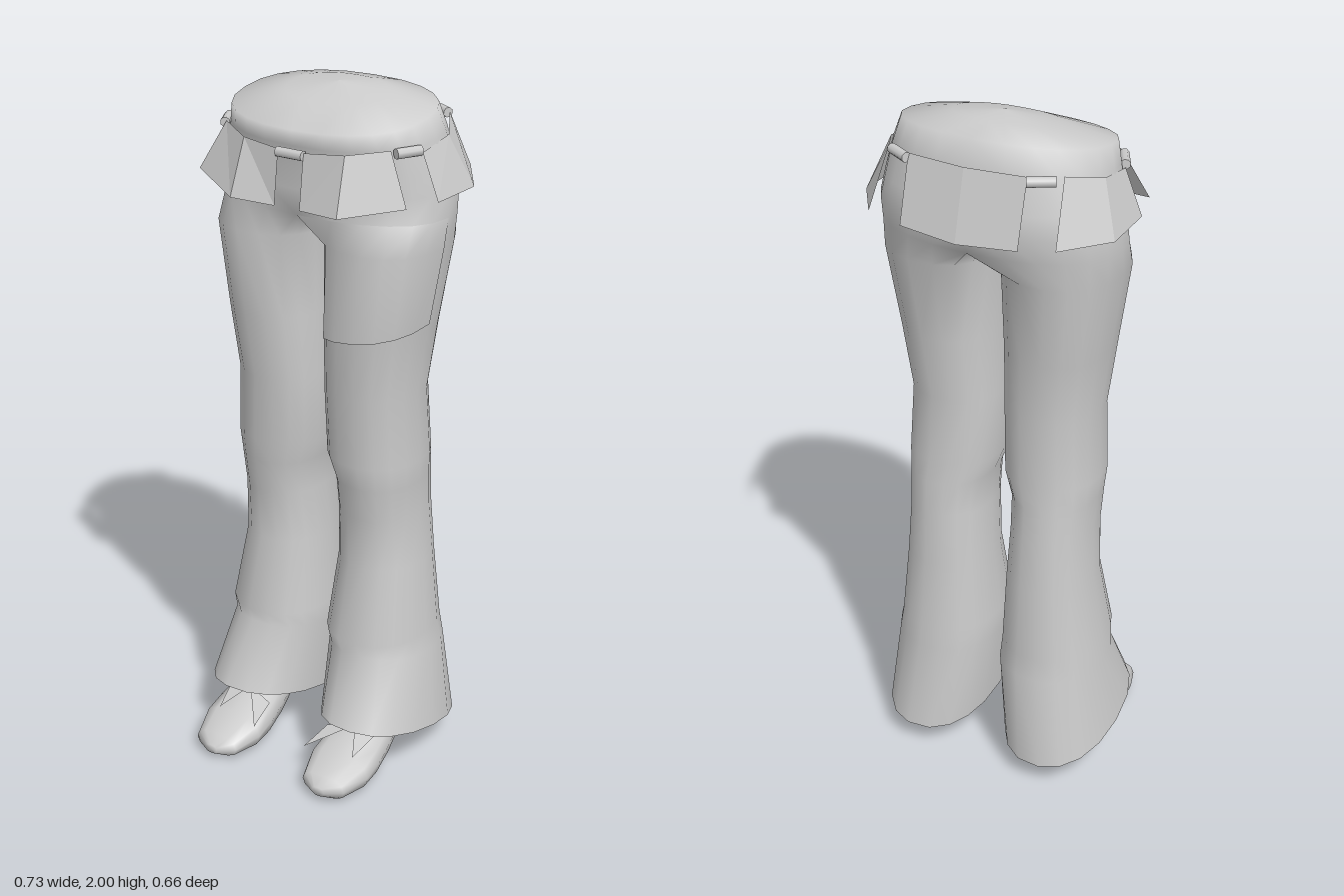
import * as THREE from 'three';

const material = new THREE.MeshStandardMaterial({ color: 0xcccccc, side: THREE.DoubleSide });
const flatMaterial = new THREE.MeshStandardMaterial({ color: 0xcccccc, side: THREE.DoubleSide, flatShading: true });
const OUTER = 12, INNER = 6, SIDES = OUTER + INNER;

// point of a superellipse with unit radii
const soft = (a, n) => [Math.cos(a), Math.sin(a)].map(v => Math.sign(v) * Math.abs(v) ** (2 / n));

function toGeometry(points, index) {
  const g = new THREE.BufferGeometry();
  g.setAttribute('position', new THREE.Float32BufferAttribute(points.flat(), 3));
  g.setIndex(index);
  g.computeVertexNormals();
  return g;
}

// skins a list of equally long rows of points; skip(i, j) leaves a face out
function skin(rows, closed, skip = () => false) {
  const n = rows[0].length, index = [];
  for (let i = 0; i < rows.length - 1; i++) {
    for (let j = 0; j < (closed ? n : n - 1); j++) {
      if (skip(i, j)) continue;
      const k = (j + 1) % n, a = i * n + j, b = i * n + k, c = b + n, d = a + n;
      index.push(a, b, c, a, c, d);
    }
  }
  return toGeometry(rows.flat(), index);
}

// reflects a geometry across x = 0 and keeps its faces pointing outward
function mirrored(geometry) {
  const g = geometry.clone().scale(-1, 1, 1), id = g.index.array;
  for (let i = 0; i < id.length; i += 3) [id[i + 1], id[i + 2]] = [id[i + 2], id[i + 1]];
  const nor = g.attributes.normal, src = geometry.attributes.normal;
  for (let i = 0; i < nor.count; i++) nor.setXYZ(i, -src.getX(i), src.getY(i), src.getZ(i));
  return g;
}

// leg levels: y front, y back, inner x, outer x, front z, back z
const legLevels = [
  [0.18, 0.07, 0.035, 0.36, 0.21, -0.28],
  [0.37, 0.35, 0.015, 0.325, 0.11, -0.245],
  [0.42, 0.42, 0.02, 0.316, 0.132, -0.238],
  [0.64, 0.64, 0.035, 0.29, 0.075, -0.22],
  [0.8, 0.8, 0.045, 0.28, 0.087, -0.21],
  [0.9, 0.9, 0.043, 0.284, 0.1, -0.2],
  [0.97, 0.97, 0.016, 0.29, 0.11, -0.195],
  [1.17, 1.17, 0.01, 0.28, 0.115, -0.185],
  [1.36, 1.36, 0.014, 0.305, 0.133, -0.205],
  [1.6, 1.6, 0.012, 0.342, 0.14, -0.23],
];
// pelvis levels: y front, y back, half width, front z, back z
const hipLevels = [
  [1.68, 1.68, 0.345, 0.14, -0.27],
  [1.75, 1.75, 0.34, 0.14, -0.29],
  [1.81, 1.81, 0.328, 0.145, -0.28],
  [1.87, 1.91, 0.31, 0.152, -0.258],
  [1.915, 1.98, 0.293, 0.163, -0.235],
];

function legRing([yf, yb, x0, x1, zf, zb]) {
  const ring = [], spread = 2.18;
  for (let j = 0; j < SIDES; j++) {
    const a = j <= OUTER
      ? spread - (2 * spread * j) / OUTER
      : -spread - ((2 * Math.PI - 2 * spread) * (j - OUTER)) / INNER;
    const [c, s] = soft(a, 2.25);
    ring.push([(x0 + x1) / 2 + c * (x1 - x0) / 2, (yf + yb) / 2 + s * (yf - yb) / 2, (zf + zb) / 2 + s * (zf - zb) / 2]);
  }
  return ring;
}

function hipRing([yf, yb, x1, zf, zb]) {
  const ring = [];
  for (let j = 0; j < SIDES; j++) {
    let [c, s] = soft(Math.PI / 2 - (Math.PI * j) / OUTER, 2.3);
    if (j === 0 || j === OUTER) c = 0;
    if (j > OUTER) [c, s] = [0, -1 + (2 * (j - OUTER)) / INNER];
    ring.push([c * x1, (yf + yb) / 2 + s * (yf - yb) / 2, (zf + zb) / 2 + s * (zf - zb) / 2]);
  }
  return ring;
}

// one trouser half: leg, hip and half of the domed top
function trouserHalf(legRings, hipRings) {
  const first = legRings.length, rim = hipRings[hipRings.length - 1], apex = [0, 2, -0.06];
  const dome = [0.5, 0.999].map(t => rim.map(p => p.map((v, k) =>
    v + (apex[k] - v) * t + (k === 1 ? 0.03 * t * (1 - t) : 0))));
  const g = skin([...legRings, ...hipRings, ...dome], true, (i, j) => i >= first && j >= OUTER);
  // smooth the centre seam
  const p = g.attributes.position, n = g.attributes.normal, v = new THREE.Vector3();
  for (let i = first * SIDES; i < p.count; i++) {
    if (Math.abs(p.getX(i)) > 1e-6) continue;
    v.fromBufferAttribute(n, i).setX(0).normalize();
    n.setXYZ(i, v.x, v.y, v.z);
  }
  return g;
}

// shoe lofted heel to toe: z, half width, bottom y, top y
function shoeGeometry() {
  const levels = [
    [-0.2, 0.03, 0.065, 0.15], [-0.16, 0.055, 0.035, 0.19], [-0.1, 0.065, 0.018, 0.21], [-0.05, 0.062, 0.045, 0.21],
    [0, 0.07, 0.055, 0.19], [0.07, 0.085, 0.025, 0.165], [0.15, 0.097, 0.003, 0.135],
    [0.22, 0.1, 0, 0.105], [0.3, 0.072, 0.004, 0.07], [0.328, 0.02, 0.018, 0.045],
  ];
  const n = 12;
  const rows = levels.map(([z, w, y0, y1]) => Array.from({ length: n }, (_, j) => {
    const [c, s] = soft((j / n) * Math.PI * 2, 2.5);
    return [0.193 + c * w, (y0 + y1) / 2 + s * (y1 - y0) / 2, z];
  }));
  const cap = row => row.map(() => row.reduce((m, p) => m.map((v, k) => v + p[k] / n), [0, 0, 0]));
  return skin([cap(rows[0]), ...rows, cap(rows[n - 3])], true);
}

// flared belt flap between a lower and an upper edge
const flap = (lower, upper) => skin([lower, upper], false);

export function createModel() {
  const model = new THREE.Group();
  const add = (name, geometry, mat = material) => {
    const mesh = new THREE.Mesh(geometry, mat);
    mesh.name = name;
    model.add(mesh);
  };
  const pair = (name, geometry, mat) => {
    add(name + 'Left', geometry, mat);
    add(name + 'Right', mirrored(geometry), mat);
  };

  const legRings = legLevels.map(legRing), hipRings = hipLevels.map(hipRing);
  pair('trousers', trouserHalf(legRings, hipRings));

  // overlapping panel on the left thigh
  const panelRows = [legRings[8], legRings[9], hipRings[0]].map((ring, i) =>
    ring.slice(0, 7).map(([x, y, z], j) => {
      const k = [1.05, 1.02, 1][i];
      return [0.17 + (x - 0.17) * k, y + (i ? 0 : -0.025 + j * 0.008), -0.04 + (z + 0.04) * k];
    }));
  add('thighPanel', skin(panelRows, false));

  // belt flaps
  pair('frontFlap', flap(
    [[0.04, 1.71, 0.185], [0.17, 1.715, 0.205], [0.332, 1.75, 0.125]],
    [[0.04, 1.86, 0.165], [0.16, 1.87, 0.152], [0.262, 1.885, 0.092]]), flatMaterial);
  pair('sideFlap', flap(
    [[0.36, 1.745, 0.015], [0.365, 1.745, -0.16], [0.27, 1.755, -0.303]],
    [[0.31, 1.87, 0.015], [0.312, 1.89, -0.11], [0.25, 1.92, -0.217]]), flatMaterial);
  add('backFlap', flap(
    [[0.17, 1.74, -0.315], [0, 1.73, -0.332], [-0.17, 1.74, -0.315]],
    [[0.17, 1.92, -0.262], [0, 1.92, -0.28], [-0.17, 1.92, -0.262]]), flatMaterial);

  // belt loops: short rods lying along the waist
  const loop = (x, y, z, dx, dz, length) => {
    const g = new THREE.CylinderGeometry(0.014, 0.014, length, 8);
    g.applyQuaternion(new THREE.Quaternion().setFromUnitVectors(
      new THREE.Vector3(0, 1, 0), new THREE.Vector3(dx, 0, dz).normalize()));
    return g.translate(x, y, z);
  };
  add('frontLoop', loop(0, 1.853, 0.167, 1, 0, 0.082));
  pair('sideLoop', loop(0.29, 1.877, 0.052, 0.42, -0.8, 0.075));
  pair('backLoop', loop(0.203, 1.91, -0.252, 0.07, 0.04, 0.075));

  // shoes with flat lace ends
  pair('shoe', shoeGeometry());
  pair('laces', toGeometry([
    [0.19, 0.15, 0.13], [0.09, 0.105, 0.25], [0.105, 0.13, 0.15],
    [0.19, 0.15, 0.13], [0.26, 0.14, 0.13], [0.24, 0.105, 0.22],
    [0.12, 0.15, 0.11], [0.25, 0.15, 0.11], [0.175, 0.185, 0.13],
  ], [0, 2, 1, 3, 5, 4, 6, 7, 8]), flatMaterial);
  return model;
}
